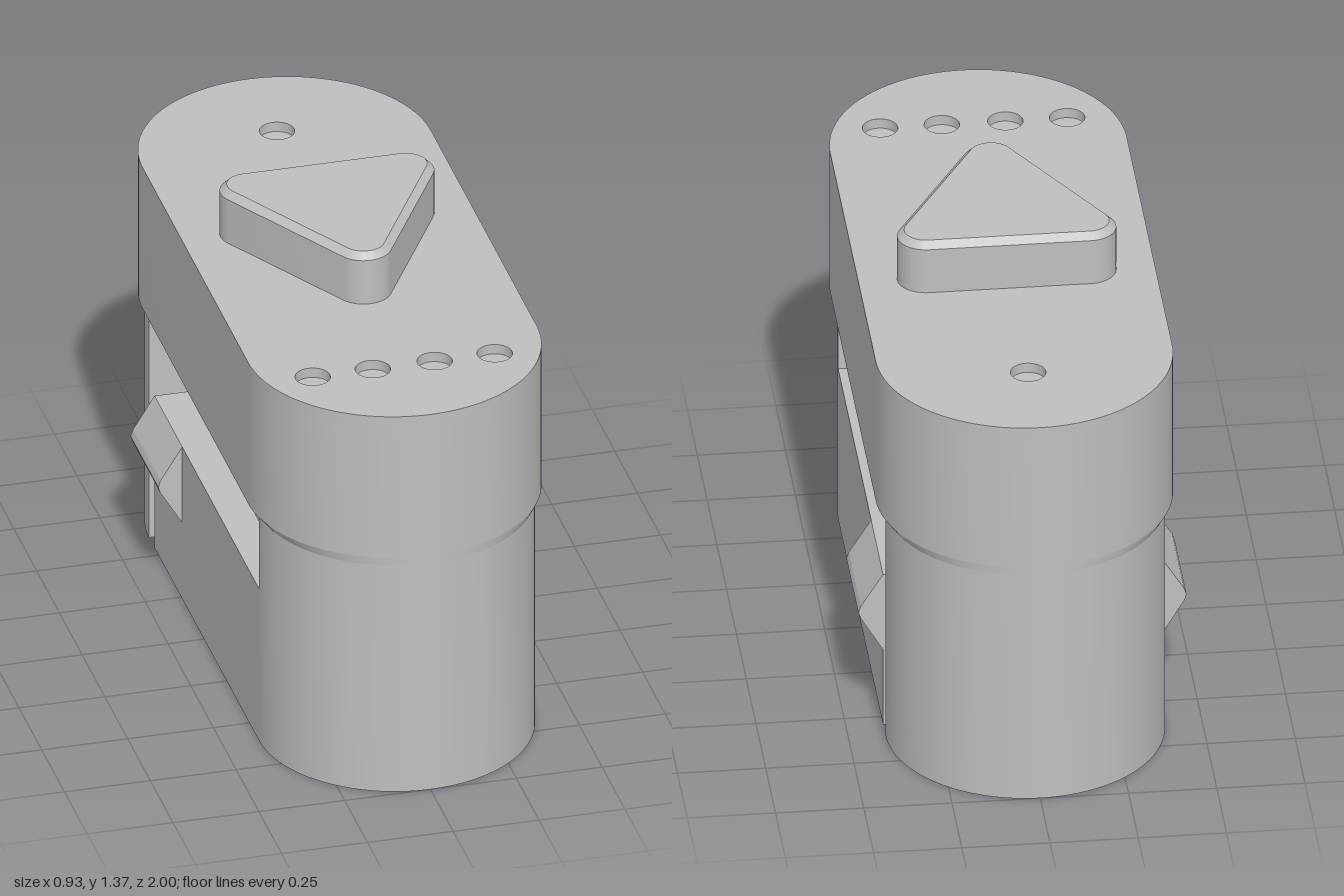
import * as THREE from 'three';
import { toCreasedNormals } from 'three/addons/utils/BufferGeometryUtils.js';

const TOP = 1.21, SHELF = 0.755, NECK = 0.73;   // heights of the main levels
const UP = { r: 0.42, c: 0.58 };                // upper stadium: radius, arc centre
const LOW = { r: 0.395, c: 0.605 };             // lower stadium
const RIB = 0.1, END = LOW.c;

// Plan shapes use (x, -z)
function stadium({ r, c }) {
  const s = new THREE.Shape();
  s.absarc(0, -c, r, Math.PI, 2 * Math.PI);
  s.absarc(0, c, r, 0, Math.PI);
  return s;
}

// Extrude a plan shape upwards from y0 to y1
function rise(shape, y0, y1, bevel = 0) {
  const g = new THREE.ExtrudeGeometry(shape, {
    depth: y1 - y0 - bevel, curveSegments: 32, bevelEnabled: bevel > 0,
    bevelThickness: bevel, bevelSize: bevel, bevelOffset: -bevel, bevelSegments: 1,
  });
  g.rotateX(-Math.PI / 2).translate(0, y0, 0);
  return toCreasedNormals(g, 0.5);
}

// Extrude an x-y cross-section along z
function along(points, z0, z1) {
  const s = new THREE.Shape(points.map(([x, y]) => new THREE.Vector2(x, y)));
  const g = new THREE.ExtrudeGeometry(s, { depth: z1 - z0, bevelEnabled: false });
  return g.translate(0, 0, z0);
}

// Skin between two matching plan outlines
function loft(low, y0, high, y1) {
  const a = low.getPoints(32), b = high.getPoints(32), n = a.length;
  const pos = [], idx = [];
  a.forEach((p) => pos.push(p.x, y0, -p.y));
  b.forEach((p) => pos.push(p.x, y1, -p.y));
  for (let i = 0; i < n; i++) {
    const j = (i + 1) % n;
    idx.push(i, j, n + j, i, n + j, n + i);
  }
  const g = new THREE.BufferGeometry();
  g.setAttribute('position', new THREE.Float32BufferAttribute(pos, 3));
  g.setIndex(idx);
  g.computeVertexNormals();
  return g;
}

export function createModel() {
  const group = new THREE.Group();
  const grey = new THREE.MeshStandardMaterial({ color: 0xbfbfbf });
  grey.name = 'plain grey';
  const add = (name, geometry) => {
    const m = new THREE.Mesh(geometry, grey);
    m.name = name;
    group.add(m);
  };

  // Upper block, with a thin top layer holding the shallow dimples
  const top = stadium(UP);
  const dimples = [[0, -0.69], ...[-0.265, -0.09, 0.09, 0.265].map((x) => [x, 0.705])];
  for (const [x, z] of dimples) {
    const hole = new THREE.Path();
    hole.absarc(x, -z, 0.05, 0, 2 * Math.PI, true);
    top.holes.push(hole);
  }
  add('dimpledTop', rise(top, TOP - 0.03, TOP));
  add('upperBlock', rise(stadium(UP), SHELF, TOP - 0.03));
  add('shelfChamfer', loft(stadium(LOW), NECK, stadium(UP), SHELF));

  // Triangular button with rounded corners and a bevelled rim
  const tri = new THREE.Shape();
  const P = Math.PI;
  tri.absarc(0, -0.26, 0.08, -5 * P / 6, -P / 6);
  tri.absarc(0.23, 0.14, 0.08, -P / 6, P / 2);
  tri.absarc(-0.23, 0.14, 0.08, P / 2, 7 * P / 6);
  add('triangleButton', rise(tri, TOP - 0.02, 1.37, 0.02));

  // Solid rounded ends of the lower body
  for (const [name, side] of [['frontEnd', -1], ['backEnd', 1]]) {
    const s = new THREE.Shape();
    const start = side < 0 ? P : 0;
    s.absarc(0, side * END, LOW.r, start, start + P);
    add(name, rise(s, 0, NECK));
  }

  // Central rib flaring at 45 degrees into the roof of the side openings
  const roofY = NECK - (LOW.r - RIB);
  add('centreRib', along([
    [-RIB, 0], [RIB, 0], [RIB, roofY], [LOW.r, NECK], [LOW.r, SHELF],
    [-LOW.r, SHELF], [-LOW.r, NECK], [-RIB, roofY],
  ], -END, END));

  // Spring arms fixed at the front, free at the back, each with a latch
  const inner = 0.295, fillet = 0.08, free = -0.545;
  for (const [side, d] of [['left', 1], ['right', -1]]) {
    const s = new THREE.Shape();
    s.moveTo(d * LOW.r, -free);
    s.lineTo(d * inner, -free);
    s.lineTo(d * inner, -END + fillet);
    s.quadraticCurveTo(d * inner, -END, d * (inner - fillet), -END);
    s.lineTo(d * LOW.r, -END);
    s.closePath();
    add(side + 'SpringArm', rise(s, 0, 0.49));
    add(side + 'Latch', along([
      [0.39, 0.245], [0.395, 0.245], [0.458, 0.35], [0.465, 0.37],
      [0.458, 0.39], [0.395, 0.49], [0.39, 0.49],
    ].map(([x, y]) => [d * x, y]), free, -0.24));
  }
  return group;
}
